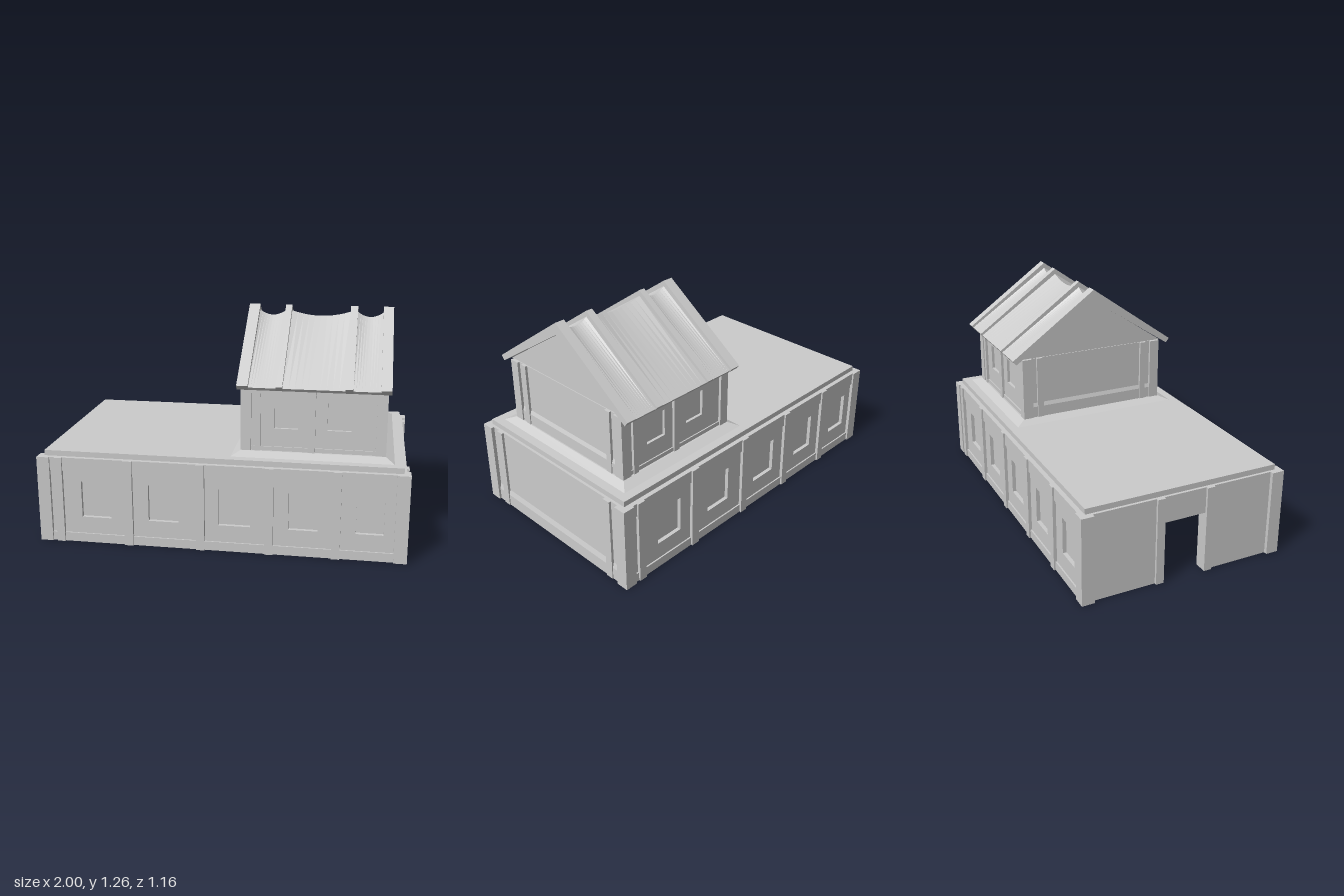
import * as THREE from 'three';

const material = new THREE.MeshStandardMaterial({ color: 0xcccccc, flatShading: true });

function add(parent, name, geometry) {
  const mesh = new THREE.Mesh(geometry, material);
  mesh.name = name;
  parent.add(mesh);
  return mesh;
}

// Box given by its limits on each axis
function block(parent, name, [x0, x1], [y0, y1], [z0, z1]) {
  const g = new THREE.BoxGeometry(x1 - x0, y1 - y0, z1 - z0);
  g.translate((x0 + x1) / 2, (y0 + y1) / 2, (z0 + z1) / 2);
  return add(parent, name, g);
}

const polygon = (points) => new THREE.Shape(points.map(([x, y]) => new THREE.Vector2(x, y)));
const rect = (x0, x1, y0, y1) => polygon([[x0, y0], [x1, y0], [x1, y1], [x0, y1]]);

function extrude(shape, depth, steps = 1) {
  return new THREE.ExtrudeGeometry(shape, { depth, steps, bevelEnabled: false });
}

// Section in z and y, run along x from x0 to x1
function alongX(shape, x0, x1, steps) {
  return extrude(shape, x1 - x0, steps).rotateY(Math.PI / 2).translate(x0, 0, 0);
}

// Flat rectangular ring lying at height y
function ring(outer, inner, y, height) {
  const shape = rect(...outer);
  shape.holes.push(rect(...inner));
  return extrude(shape, height).rotateX(-Math.PI / 2).translate(0, y, 0);
}

// One wall in its own frame: outer face on z = 0, facing +z
function wall(storey, name, angle, distance, o) {
  const { w, h, t, proud, windows = [], wy, posts = [], bands, door, plinth } = o;
  const g = new THREE.Group();
  g.name = name;
  g.rotation.y = angle;
  g.position.set(Math.sin(angle) * distance, 0, Math.cos(angle) * distance);
  storey.add(g);
  const x = w / 2;
  const shape = door
    ? polygon([[-x, 0], [-door[0], 0], [-door[0], door[1]], [door[0], door[1]], [door[0], 0], [x, 0], [x, h], [-x, h]])
    : rect(-x, x, 0, h);
  for (const [a, b] of windows) shape.holes.push(rect(a, b, ...wy));
  add(g, 'wallPanel', extrude(shape, t).translate(0, 0, -t));
  for (const span of windows) block(g, 'windowPane', span, wy, [-t * 0.6, -t * 0.35]);
  for (const span of posts) block(g, 'wallPost', span, [0, h], [-0.005, proud]);
  if (bands) {
    block(g, 'bottomRail', [-x, x], [0, bands[0]], [-0.005, proud * 0.45]);
    block(g, 'topRail', [-x, x], [bands[1], h], [-0.005, proud * 0.45]);
  }
  // Sloping plinth between the posts
  if (plinth) {
    const [half, y0, y1] = plinth, p = proud * 0.6;
    add(g, 'plinth', alongX(polygon([[0.005, 0], [-p, 0], [-p, y0], [0.005, y1]]), -half, half));
  }
}

// Square posts at the four corners
function cornerPosts(storey, hx, hz, wx, wz, h) {
  for (const sx of [-1, 1]) for (const sz of [-1, 1]) {
    const g = new THREE.BoxGeometry(wx, h, wz);
    g.translate(sx * (hx - wx / 2), h / 2, sz * (hz - wz / 2));
    add(storey, 'cornerPost', g);
  }
}

function lowerStorey() {
  const s = new THREE.Group();
  s.name = 'lowerStorey';
  const h = 0.485, t = 0.06;
  const long = {
    w: 1.96, h, t, proud: 0.018, wy: [0.145, 0.35], bands: [0.05, 0.41],
    windows: [[-0.76, -0.595], [-0.385, -0.22], [0, 0.17], [0.375, 0.53], [0.73, 0.875]],
    posts: [[-0.905, -0.86], [-0.52, -0.47], [-0.12, -0.075], [0.25, 0.295], [0.605, 0.65]],
  };
  wall(s, 'frontWall', 0, 0.562, long);
  wall(s, 'backWall', Math.PI, 0.562, long);
  const end = { w: 1.02, h, t, proud: 0.014 };
  wall(s, 'leftWall', Math.PI / 2, 0.98, {
    ...end, posts: [[-0.465, -0.42], [0.42, 0.465]], plinth: [0.51, 0.07, 0.12],
  });
  wall(s, 'doorWall', -Math.PI / 2, 0.98, { ...end, door: [0.12, 0.34], posts: [[-0.165, -0.12], [0.12, 0.165]] });
  cornerPosts(s, 1, 0.58, 0.07, 0.07, h);
  // Flat roof, open below the upper storey
  add(s, 'flatRoof', ring([-0.965, 0.965, -0.545, 0.545], [0.17, 0.8, -0.37, 0.37], 0.483, 0.032));
  return s;
}

function upperStorey(cx, y0) {
  const s = new THREE.Group();
  s.name = 'upperStorey';
  s.position.set(cx, y0, 0);
  const h = 0.36, t = 0.045;
  const long = {
    w: 0.74, h, t, proud: 0.015, wy: [0.125, 0.275], bands: [0.025, 0.315],
    windows: [[-0.205, -0.08], [0.075, 0.2]],
    posts: [[-0.31, -0.28], [-0.025, 0.012]],
  };
  wall(s, 'upperFrontWall', 0, 0.423, long);
  wall(s, 'upperBackWall', Math.PI, 0.423, long);
  const end = {
    w: 0.76, h, t, proud: 0.014,
    posts: [[-0.35, -0.315], [0.315, 0.35]], plinth: [0.38, 0.065, 0.1],
  };
  wall(s, 'upperLeftWall', Math.PI / 2, 0.37, end);
  wall(s, 'upperRightWall', -Math.PI / 2, 0.37, end);
  cornerPosts(s, 0.385, 0.438, 0.055, 0.057, h);
  // Sloping skirt around the foot
  const skirt = ring([-0.435, 0.435, -0.5, 0.5], [-0.315, 0.315, -0.37, 0.37], -0.022, 0.024);
  const p = skirt.attributes.position;
  for (let i = 0; i < p.count; i++) {
    if (p.getY(i) > 0 && Math.abs(p.getX(i)) > 0.4) p.setXYZ(i, Math.sign(p.getX(i)) * 0.385, p.getY(i), Math.sign(p.getZ(i)) * 0.44);
  }
  skirt.computeVertexNormals();
  add(s, 'skirt', skirt);
  return s;
}

function gableRoof() {
  const roof = new THREE.Group();
  roof.name = 'gableRoof';
  const chevron = (top, z, y) => polygon([[0, top], [-z, y], [-0.48, 0.88], [0, 1.195], [0.48, 0.88], [z, y]]);
  const rafters = [[0.085, 0.145], [0.29, 0.325], [0.65, 0.69], [0.83, 0.885]];
  rafters.forEach(([a, b], i) => {
    add(roof, 'rafter', alongX(chevron(1.26, 0.5, 0.905), a, b));
    if (i === 3) return;
    // Roof covering that sags along the ridge between two rafters
    const end = rafters[i + 1][0];
    const sheet = alongX(chevron(1.228, 0.49, 0.895), b, end, 10);
    const p = sheet.attributes.position;
    for (let k = 0; k < p.count; k++) {
      const u = (2 * (p.getX(k) - b)) / (end - b) - 1;
      if (p.getY(k) > 1.21) p.setY(k, p.getY(k) - 0.027 * (1 - u * u));
    }
    sheet.computeVertexNormals();
    add(roof, 'roofSheet', sheet);
  });
  // Gable infill, set back behind the end rafters
  for (const x of [0.12, 0.825]) {
    add(roof, 'gable', alongX(polygon([[0, 1.197], [-0.455, 0.893], [0.455, 0.893]]), x, x + 0.025));
  }
  return roof;
}

export function createModel() {
  const model = new THREE.Group();
  model.name = 'house';
  model.add(lowerStorey(), upperStorey(0.485, 0.535), gableRoof());
  return model;
}
